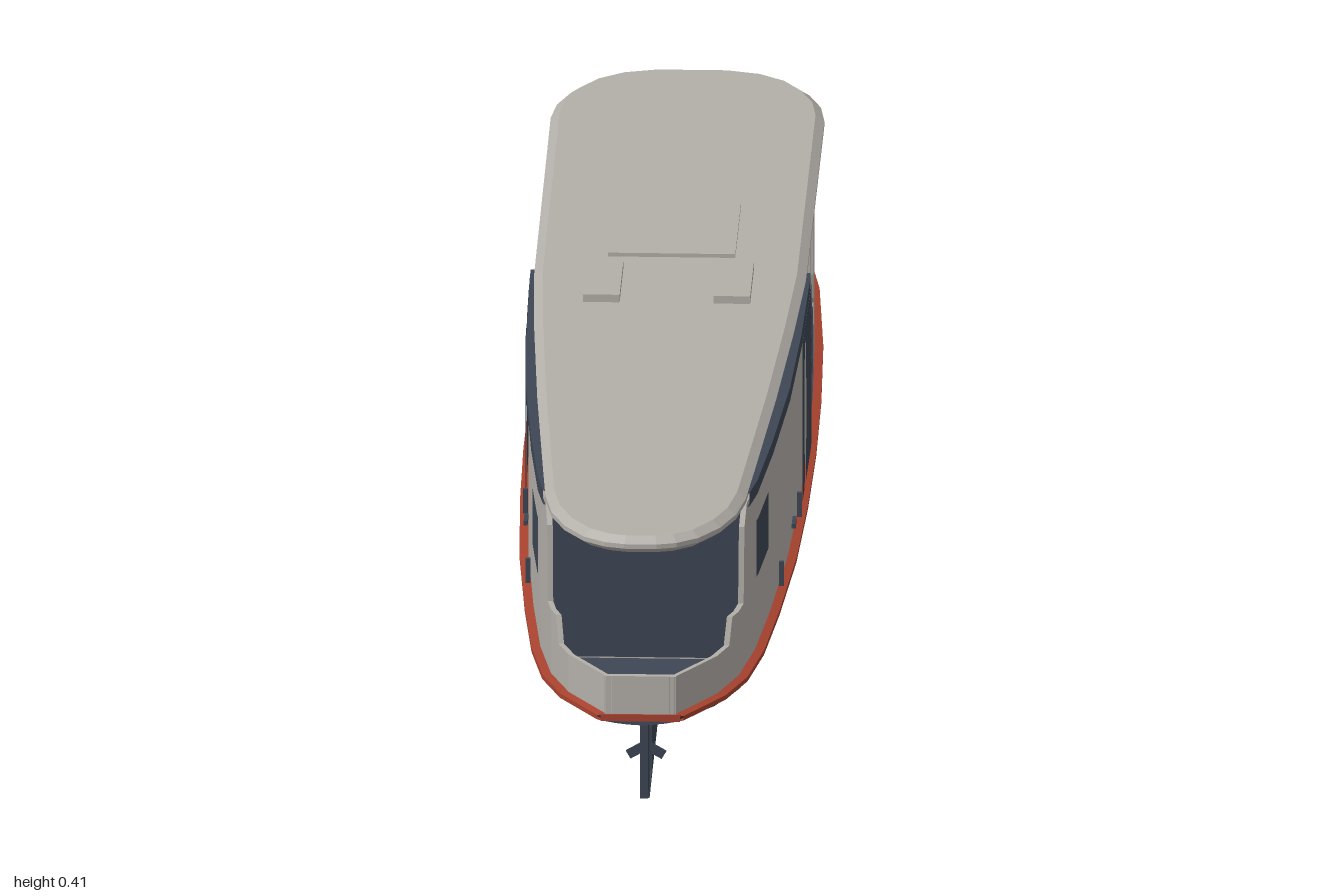
import * as THREE from 'three';

const mat = (name, color) => Object.assign(
  new THREE.MeshStandardMaterial({ color, side: THREE.DoubleSide }), { name });

// Piecewise linear lookup in a table of [z, value]
function lerpTable(t, z) {
  for (let i = 1; i < t.length; i++) {
    if (z <= t[i][0]) {
      const k = (z - t[i - 1][0]) / (t[i][0] - t[i - 1][0]);
      return t[i - 1][1] + (t[i][1] - t[i - 1][1]) * Math.max(0, k);
    }
  }
  return t[t.length - 1][1];
}

// Half beam, keel height and sheer height along the boat (bow at -z)
const BEAM = [[-1, 0.002], [-0.97, 0.03], [-0.92, 0.063], [-0.85, 0.1], [-0.75, 0.135], [-0.6, 0.157],
  [-0.4, 0.169], [-0.2, 0.174], [0, 0.175], [0.2, 0.172], [0.4, 0.165], [0.6, 0.151], [0.75, 0.137],
  [0.85, 0.12], [0.92, 0.095], [1, 0.045]];
const KEEL = [[-1, 0.178], [-0.9, 0.14], [-0.8, 0.113], [-0.6, 0.082], [-0.4, 0.07], [0.1, 0.07],
  [0.4, 0.08], [0.6, 0.095], [0.8, 0.12], [1, 0.15]];
const SHEER = [[-1, 0.185], [-0.75, 0.168], [-0.45, 0.16], [1, 0.16]];
const beam = z => lerpTable(BEAM, z);
const keel = z => lerpTable(KEEL, z);
const sheer = z => lerpTable(SHEER, z);
const stations = (a, b) => [a, ...BEAM.map(p => p[0]).filter(z => z > a + 1e-6 && z < b - 1e-6), b];

// Skin over a list of equal-length cross-sections
function loft(sections, smooth = false) {
  const n = sections[0].length, index = [];
  for (let i = 0; i < sections.length - 1; i++) {
    for (let j = 0; j < n - 1; j++) {
      const a = i * n + j, b = a + n;
      index.push(a, b, a + 1, a + 1, b, b + 1);
    }
  }
  let g = new THREE.BufferGeometry();
  g.setAttribute('position', new THREE.Float32BufferAttribute(sections.flat(2), 3));
  g.setIndex(index);
  if (!smooth) g = g.toNonIndexed();
  g.computeVertexNormals();
  return g;
}

// Thin wall that follows the hull side; top is a table of [z, height]
function wall(side, top, inset = 0.002, thick = 0.007) {
  const zs = [...new Set([...stations(top[0][0], top[top.length - 1][0]), ...top.map(p => p[0])])].sort((a, b) => a - b);
  return loft(zs.map(z => {
    const o = Math.max(0.001, beam(z) - inset), i = Math.max(0, o - thick);
    const y0 = sheer(z), y1 = Math.max(y0 + 0.001, lerpTable(top, z));
    return [[o, y0], [o, y1], [i, y1], [i, y0], [o, y0]].map(([x, y]) => [side * x, y, z]);
  }));
}

// Thin plate on the hull side between two edges z0(y) and z1(y)
function sidePlate(side, ys, z0, z1, out = 0.002) {
  return loft(ys.map((y, i) => {
    const a = z0[i] ?? z0[0], b = z1[i] ?? z1[0];
    return Array.from({ length: 13 }, (_, k) => {
      const z = a + (b - a) * k / 12;
      return [side * (beam(z) + out), y, z];
    });
  }));
}

// Horizontal slab from half widths [z, x], raised between two heights
function slab(half, y, height, bevel = 0) {
  const pts = [...half.map(([z, x]) => [x, -z]), ...half.slice().reverse().map(([z, x]) => [-x, -z])];
  const shape = new THREE.Shape(pts.map(p => new THREE.Vector2(...p)));
  const g = new THREE.ExtrudeGeometry(shape, { depth: height - 2 * bevel, bevelEnabled: bevel > 0,
    bevelThickness: bevel, bevelSize: bevel * 1.4, bevelOffset: -bevel * 1.4, bevelSegments: 1 });
  return g.rotateX(-Math.PI / 2).translate(0, y + bevel, 0);
}

// Plate in the z-y plane with optional window holes
function profile(points, thick, holes = []) {
  const toV = p => new THREE.Vector2(-p[0], p[1]);
  const shape = new THREE.Shape(points.map(toV));
  shape.holes = holes.map(h => new THREE.Path(h.map(toV)));
  return new THREE.ExtrudeGeometry(shape, { depth: thick, bevelEnabled: false })
    .translate(0, 0, -thick / 2).rotateY(Math.PI / 2);
}

export function createModel() {
  const group = new THREE.Group();
  const grey = mat('warmGrey', 0xb3afa9), dark = mat('slateBlue', 0x3d4653), red = mat('rustRed', 0xa8422f);
  const hullMat = mat('hullNavy', 0x363e4a), white = mat('offWhite', 0xd8d5d0);
  const add = (name, geo, m) => {
    const mesh = new THREE.Mesh(geo, m);
    mesh.name = name;
    group.add(mesh);
    return mesh;
  };
  const box = (name, m, w, h, d, x, y, z) => add(name, new THREE.BoxGeometry(w, h, d).translate(x, y, z), m);

  // Hull, rounded bottom with upright topsides
  const zs = stations(-1, 1);
  add('hull', loft(zs.map(z => {
    const w = beam(z), k = keel(z), s = sheer(z), c = k + (s - k) * 0.55;
    const half = [[0, k], [0.35, k + 0.16 * (c - k)], [0.7, k + 0.5 * (c - k)], [0.95, k + 0.88 * (c - k)], [1, c + 0.003], [1, s]];
    return [...half.slice(1).reverse().map(([x, y]) => [-x * w, y, z]), ...half.map(([x, y]) => [x * w, y, z])];
  }), true), hullMat);

  // Deck
  add('deck', loft(zs.map(z => [[-beam(z), sheer(z) + 0.003, z], [beam(z), sheer(z) + 0.003, z]])), dark);

  // Transom
  box('transom', grey, 0.09, 0.055, 0.008, 0, 0.1875, 0.995);
  box('transomRail', red, 0.1, 0.009, 0.008, 0, 0.16, 0.997);

  for (const s of [1, -1]) {
    // Rubbing strake
    add('rubbingStrake', loft(zs.map(z => {
      const w = beam(z), y = sheer(z);
      return [[w - 0.002, y - 0.005], [w + 0.009, y - 0.003], [w + 0.009, y + 0.003], [w - 0.002, y + 0.005]]
        .map(([x, h]) => [s * x, h, z]);
    })), red);

    // Main cabin side with stepped stern bulwark
    add('cabinSide', wall(s, [[-0.11, 0.19], [-0.075, 0.205], [-0.045, 0.25], [-0.04, 0.378], [0.8, 0.378],
      [0.815, 0.35], [0.82, 0.25], [0.87, 0.25], [0.88, 0.215], [1, 0.215]]), grey);

    // Forward side panel running into the bow bulwark
    add('bowBulwark', wall(s, [[-1, 0.187], [-0.965, 0.235], [-0.9, 0.23], [-0.7, 0.212], [-0.44, 0.205],
      [-0.4, 0.225], [-0.39, 0.26], [-0.385, 0.378], [-0.3, 0.378]]), grey);

    // Dark side panels with a wavy gap between them
    const ys = [0.165, 0.2, 0.225, 0.26, 0.3, 0.335, 0.352, 0.378];
    add('forwardSidePanel', sidePlate(s, ys, [-0.03], [0.11, 0.115, 0.105, 0.1, 0.108, 0.112, 0.12, 0.12]), dark);
    add('aftSidePanel', sidePlate(s, ys, [0.145, 0.14, 0.15, 0.155, 0.152, 0.145, 0.132, 0.13], [0.2]), dark);
    add('sideWindow', sidePlate(s, [0.265, 0.34], [0.65], [0.76]), dark);

    // Dark gutter beneath the roof edge
    add('roofGutter', loft(stations(-0.03, 0.8).map(z => {
      const w = beam(z);
      return [[w - 0.035, 0.372], [w + 0.001, 0.372], [w + 0.001, 0.39], [w - 0.035, 0.39]].map(([x, y]) => [s * x, y, z]);
    })), dark);

    // Mooring cleats along the cabin foot
    for (const z of [0.51, 0.25]) box('fenderPost', dark, 0.006, 0.032, 0.006, s * (beam(z) + 0.002), 0.181, z);
    box('sideVent', dark, 0.005, 0.006, 0.03, s * (beam(0.33) + 0.001), 0.185, 0.33);

    // Side deck railing
    for (const z of [-0.112, -0.205, -0.295]) box('railPost', dark, 0.006, 0.09, 0.006, s * 0.166, 0.205, z);
    for (const y of [0.185, 0.217, 0.248]) box('railBar', dark, 0.005, 0.005, 0.185, s * 0.166, y, -0.204);

    // Wheelhouse side with two windows
    const side = add('wheelhouseSide', profile(
      [[-0.38, 0.163], [-0.54, 0.163], [-0.54, 0.23], [-0.57, 0.378], [-0.38, 0.378]], 0.008, [
        [[-0.395, 0.28], [-0.47, 0.275], [-0.478, 0.362], [-0.395, 0.362]],
        [[-0.49, 0.275], [-0.537, 0.27], [-0.556, 0.362], [-0.493, 0.362]]]), grey);
    side.position.x = s * 0.115;

    // Roof boxes
    box('roofBox', grey, 0.046, 0.014, 0.13, s * 0.082, 0.401, 0.047);
  }

  // Bulkheads, with dark doors and stern glazing
  box('cabinFrontWall', grey, 0.336, 0.213, 0.008, 0, 0.271, -0.036);
  box('cabinFrontDoor', dark, 0.15, 0.195, 0.004, 0, 0.264, -0.042);
  box('cabinSternWall', grey, 0.25, 0.213, 0.008, 0, 0.271, 0.785);
  box('sternGlazing', dark, 0.25, 0.205, 0.004, 0, 0.27, 0.791);
  box('wheelhouseBackWall', grey, 0.33, 0.213, 0.008, 0, 0.271, -0.306);
  box('wheelhouseDoor', dark, 0.16, 0.195, 0.004, 0, 0.264, -0.3);
  box('wheelhouseShoulder', grey, 0.324, 0.213, 0.008, 0, 0.271, -0.382);

  // Wheelhouse front: lower wall, raked pillars and helm console
  box('wheelhouseFront', grey, 0.23, 0.105, 0.008, 0, 0.216, -0.54);
  for (const x of [-0.111, -0.038, 0.038, 0.111]) {
    const pillar = box('windowPillar', grey, 0.012, 0.115, 0.008, 0, 0, 0);
    pillar.position.set(x, 0.322, -0.555);
    pillar.rotation.x = -0.2;
  }
  box('windowHeader', grey, 0.23, 0.016, 0.008, 0, 0.37, -0.566);
  box('helmConsole', dark, 0.1, 0.12, 0.04, 0, 0.225, -0.515);

  // Roof with bevelled rim and a flat hatch
  add('roof', slab([[-0.775, 0.045], [-0.762, 0.09], [-0.735, 0.125], [-0.695, 0.15], [-0.65, 0.166], [-0.6, 0.172],
    [0, 0.171], [0.2, 0.163], [0.45, 0.15], [0.7, 0.134], [0.82, 0.126], [0.88, 0.116], [0.93, 0.098], [0.97, 0.072],
    [0.99, 0.045], [0.997, 0.02]], 0.376, 0.022, 0.008), grey);
  box('roofHatch', grey, 0.16, 0.006, 0.2, 0, 0.4, -0.16);

  // Bow locker, lifebuoy and lamp post
  box('bowLocker', red, 0.075, 0.1, 0.09, 0.03, 0.216, -0.805);
  box('lockerLid', grey, 0.077, 0.005, 0.092, 0.03, 0.267, -0.805);
  for (let i = 0; i < 8; i++) {
    const arc = add('lifebuoy', new THREE.TorusGeometry(0.028, 0.007, 8, 4, Math.PI / 4), i % 2 ? white : red);
    arc.rotation.z = i * Math.PI / 4;
    arc.position.set(-0.07, 0.207, -0.755);
  }
  add('lampPost', new THREE.CylinderGeometry(0.004, 0.005, 0.08, 8).translate(0, 0.22, -0.955), dark);
  add('lamp', new THREE.CylinderGeometry(0.011, 0.011, 0.018, 12).rotateX(Math.PI / 2).translate(0, 0.263, -0.957), dark);

  // Skeg, rudder and propeller
  add('skeg', profile([[0.15, 0.072], [0.46, 0.003], [0.85, 0], [0.85, 0.006], [0.77, 0.008], [0.77, 0.122], [0.4, 0.085]], 0.012), dark);
  box('rudder', dark, 0.01, 0.1, 0.05, 0, 0.06, 0.855);
  box('rudderStock', dark, 0.012, 0.135, 0.01, 0, 0.0675, 0.842);
  add('propellerShaft', new THREE.CylinderGeometry(0.005, 0.005, 0.05, 8).rotateX(Math.PI / 2).translate(0, 0.055, 0.79), dark);
  for (let i = 0; i < 3; i++) {
    const blade = box('propellerBlade', dark, 0.012, 0.024, 0.003, 0, 0.014, 0);
    blade.position.set(0, 0.055, 0.805);
    blade.rotation.z = i * Math.PI * 2 / 3;
  }
  return group;
}
